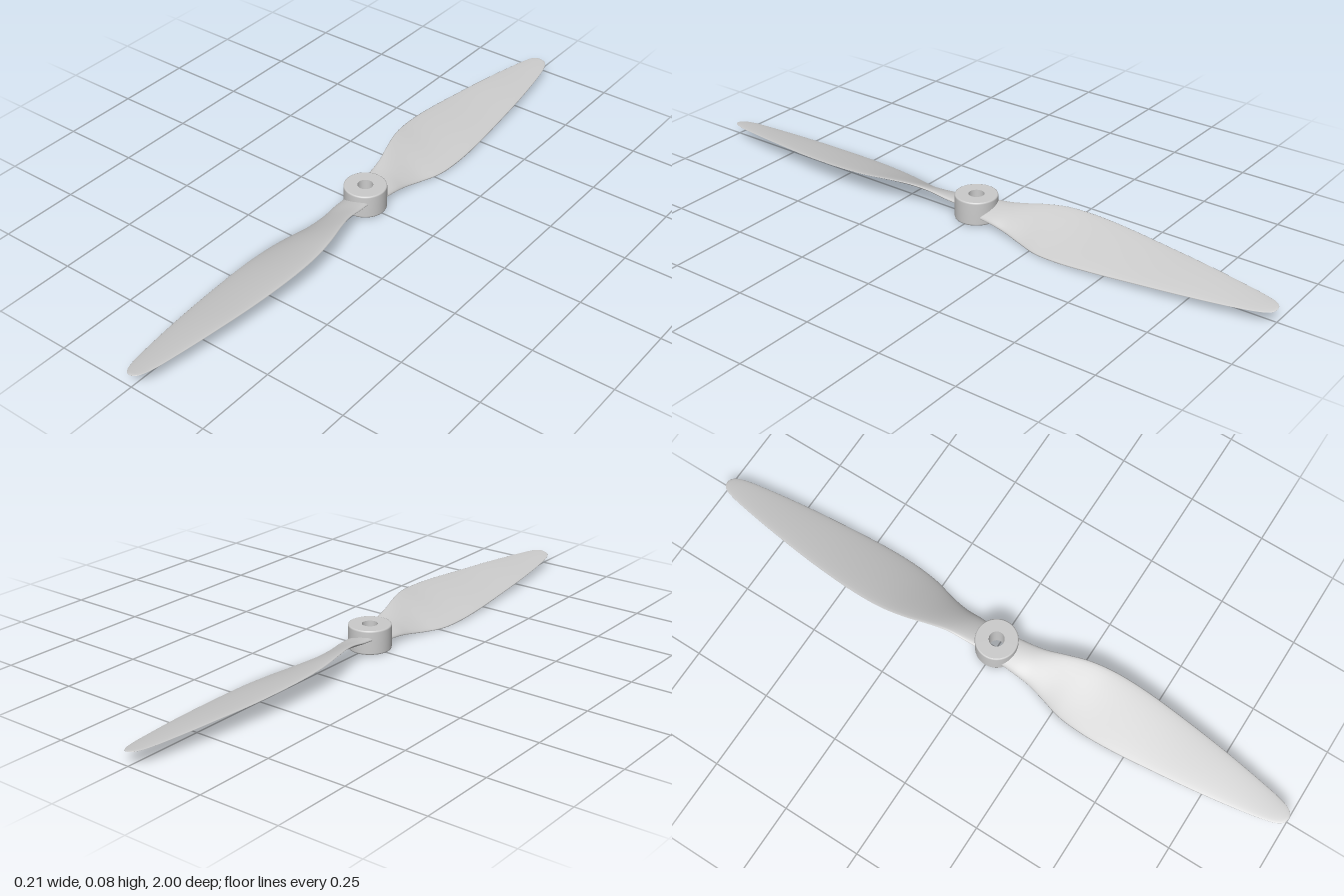
import * as THREE from 'three';

const material = new THREE.MeshStandardMaterial({ color: 0xcccccc });

// Blade stations: z, low edge x, y, high edge x, y, thickness
const stations = [
  [0.04, -0.046, 0.028, 0.046, 0.052, 0.022],
  [0.09, -0.049, 0.024, 0.049, 0.058, 0.020],
  [0.14, -0.052, 0.015, 0.054, 0.068, 0.017],
  [0.20, -0.065, 0.006, 0.070, 0.078, 0.014],
  [0.27, -0.085, 0.002, 0.090, 0.082, 0.013],
  [0.35, -0.094, 0.005, 0.102, 0.078, 0.012],
  [0.45, -0.094, 0.011, 0.103, 0.072, 0.011],
  [0.60, -0.083, 0.019, 0.091, 0.063, 0.009],
  [0.75, -0.068, 0.026, 0.072, 0.057, 0.008],
  [0.88, -0.050, 0.032, 0.051, 0.051, 0.006],
  [0.95, -0.037, 0.036, 0.037, 0.048, 0.005],
  [0.98, -0.027, 0.038, 0.027, 0.047, 0.004],
  [0.995, -0.015, 0.040, 0.015, 0.045, 0.003],
  [1.0, 0, 0.0425, 0, 0.0425, 0],
];

// Loft a twisted, cambered section along the stations
function bladeGeometry(rings = 78, sides = 28) {
  const curve = (f) => new THREE.CatmullRomCurve3(stations.map(f));
  const low = curve((s) => new THREE.Vector3(s[1], s[2], s[0]));
  const high = curve((s) => new THREE.Vector3(s[3], s[4], s[0]));
  const thick = curve((s) => new THREE.Vector3(s[5], 0, s[0]));
  const pos = [], index = [];
  for (let i = 0; i <= rings; i++) {
    const a = low.getPoint(i / rings), b = high.getPoint(i / rings);
    const t = Math.max(0, thick.getPoint(i / rings).x);
    const mid = a.clone().add(b).multiplyScalar(0.5);
    const half = b.clone().sub(a).multiplyScalar(0.5);
    const len = Math.hypot(half.x, half.y) || 1;
    for (let j = 0; j < sides; j++) {
      const ang = (j / sides) * Math.PI * 2;
      const c = Math.cos(ang), s = Math.sin(ang);
      const n = t * s * (s > 0 ? 0.65 : 0.35);
      pos.push(mid.x + half.x * c - (half.y / len) * n,
        mid.y + half.y * c + (half.x / len) * n, mid.z);
      if (i < rings) {
        const p = i * sides + j, q = i * sides + ((j + 1) % sides);
        index.push(p, q, q + sides, p, q + sides, p + sides);
      }
    }
  }
  const geo = new THREE.BufferGeometry();
  geo.setAttribute('position', new THREE.Float32BufferAttribute(pos, 3));
  geo.setIndex(index);
  geo.computeVertexNormals();
  return geo;
}

// Bored hub: each straight run of the profile is its own lathe, keeping edges crisp
function createHub() {
  const hub = new THREE.Group();
  hub.name = 'hub';
  const runs = {
    bore: [[0.024, 0.08], [0.024, 0.004]],
    bottomFace: [[0.024, 0.004], [0.062, 0.004]],
    outerWall: [[0.062, 0.004], [0.065, 0.005], [0.066, 0.009],
      [0.066, 0.075], [0.065, 0.079], [0.062, 0.08]],
    topFace: [[0.062, 0.08], [0.024, 0.08]],
  };
  for (const [name, pts] of Object.entries(runs)) {
    const profile = pts.map(([r, y]) => new THREE.Vector2(r, y));
    const mesh = new THREE.Mesh(new THREE.LatheGeometry(profile, 64), material);
    mesh.name = name;
    hub.add(mesh);
  }
  return hub;
}

export function createModel() {
  const model = new THREE.Group();
  model.name = 'propeller';
  model.add(createHub());

  // Two identical blades, half a turn apart
  const geo = bladeGeometry();
  ['frontBlade', 'backBlade'].forEach((name, i) => {
    const blade = new THREE.Mesh(geo, material);
    blade.name = name;
    blade.rotation.y = i * Math.PI;
    model.add(blade);
  });
  return model;
}
